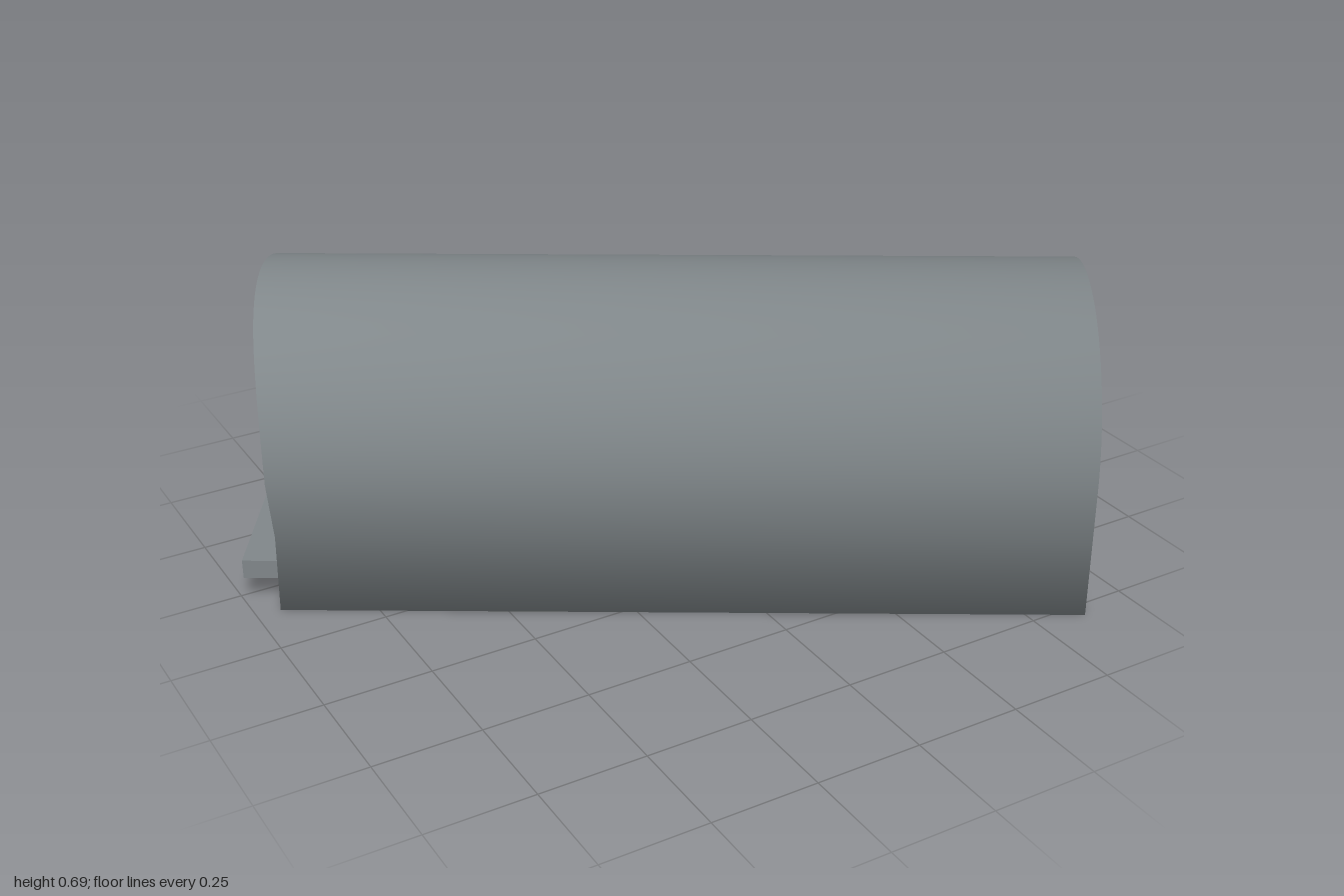
import * as THREE from 'three';

const CENTRE_X = 0.007, FRONT_Z = 0.935;

// Closed arch outline, anticlockwise seen from the front, starting at the left foot.
// Each point has its position, outward normal and the z of the uneven back edge.
function archOutline(half, floorY, springY) {
  const pts = [];
  const add = (x, y, nx, ny, back) => {
    const l = Math.hypot(nx, ny);
    pts.push({ x, y, nx: nx / l, ny: ny / l, back });
  };
  const midY = 0.19, floorSegs = 12, arcSegs = 40;
  for (let i = 0; i <= floorSegs; i++) {
    const u = -1 + (2 * i) / floorSegs;
    const corner = Math.abs(u) === 1 ? Math.sign(u) : 0;
    add(u * half, floorY, corner, -1, -0.885 + 0.028 * (1 - u * u));
  }
  add(half, midY, 1, -0.35, -0.882);
  for (let i = 0; i <= arcSegs; i++) {
    const a = (Math.PI * i) / arcSegs, c = Math.cos(a), s = Math.sin(a);
    add(c * half, springY + s * half, c, s, -0.893 - 0.042 * s * s);
  }
  add(-half, midY, -1, -0.35, -0.882);
  return pts;
}

// Thick shell: smooth over the front lip, with a crisp back edge
function shellGeometry() {
  const outer = archOutline(0.367, 0, 0.323);
  const inner = archOutline(0.342, 0.03, 0.323);
  const n = outer.length, pos = [], nor = [], idx = [];
  const ring = (pts, atFront, sign, tilt, flat = false) => {
    const start = pos.length / 3;
    pts.forEach((p) => {
      pos.push(p.x, p.y, atFront ? FRONT_Z : p.back);
      const v = flat ? new THREE.Vector3(0, 0, -1)
        : new THREE.Vector3(p.nx * sign, p.ny * sign, tilt).normalize();
      nor.push(v.x, v.y, v.z);
    });
    return start;
  };
  const bridge = (a, b) => {
    for (let i = 0; i < n; i++) {
      const j = (i + 1) % n;
      idx.push(a + i, a + j, b + j, a + i, b + j, b + i);
    }
  };
  const outerBack = ring(outer, false, 1, 0);
  const outerFront = ring(outer, true, 1, 0.6);
  const innerFront = ring(inner, true, -1, 0.6);
  const innerBack = ring(inner, false, -1, 0);
  bridge(outerBack, outerFront);
  bridge(outerFront, innerFront);
  bridge(innerFront, innerBack);
  bridge(ring(inner, false, 1, 0, true), ring(outer, false, 1, 0, true));

  const g = new THREE.BufferGeometry();
  g.setAttribute('position', new THREE.Float32BufferAttribute(pos, 3));
  g.setAttribute('normal', new THREE.Float32BufferAttribute(nor, 3));
  g.setIndex(idx);
  return g;
}

export function createModel() {
  const grey = new THREE.MeshStandardMaterial({ color: 0x80878a });
  grey.name = 'concrete grey';

  const model = new THREE.Group();
  model.name = 'archedTunnel';

  // Arched shell with its floor
  const shell = new THREE.Mesh(shellGeometry(), grey);
  shell.name = 'tunnelShell';
  shell.position.x = CENTRE_X;

  // Raised deck running through the tunnel and out of the back
  const deck = new THREE.Mesh(new THREE.BoxGeometry(0.684, 0.045, 1.899), grey);
  deck.name = 'deck';
  deck.position.set(CENTRE_X, 0.092, -0.018);

  // The tunnel axis runs diagonally across the ground
  const turned = new THREE.Group();
  turned.name = 'tunnel';
  turned.rotation.y = Math.atan2(0.857, 0.515);
  turned.add(shell, deck);
  model.add(turned);
  return model;
}
